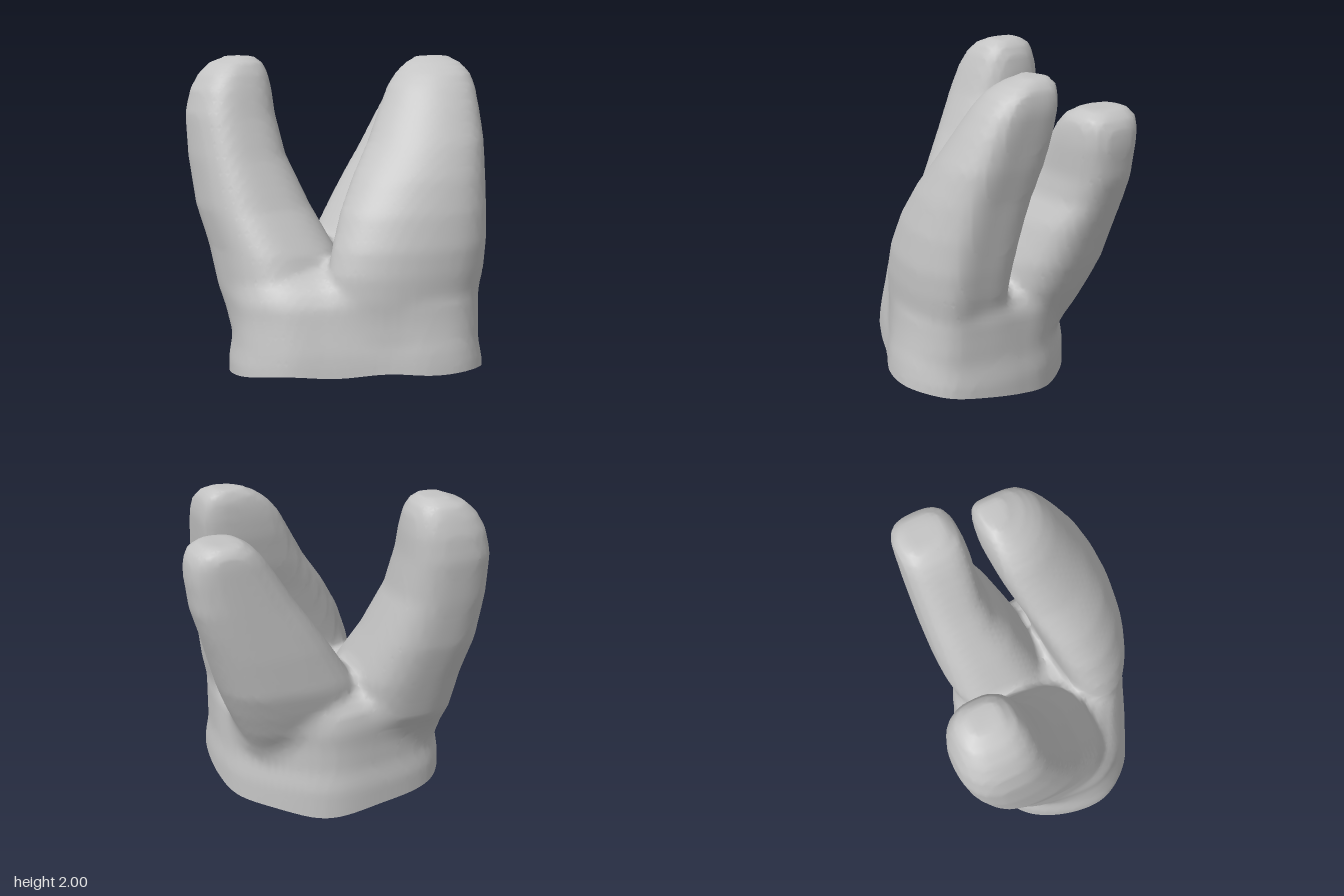
import * as THREE from 'three';

const BINS = 120;
const TAU = Math.PI * 2;

// Smooth closed outline through [x, z] points, rescaled to the -1..1 square.
// Returns a function that is 1 on the outline, less inside, more outside.
function smoothOutline(points) {
  const curve = new THREE.CatmullRomCurve3(points.map(([x, z]) => new THREE.Vector3(x, 0, z)), true);
  const pts = curve.getPoints(2400);
  const box = new THREE.Box3().setFromPoints(pts);
  const mid = box.getCenter(new THREE.Vector3());
  const half = box.getSize(new THREE.Vector3()).multiplyScalar(0.5);
  const radius = new Array(BINS).fill(1);
  for (const p of pts) {
    const u = (p.x - mid.x) / half.x, v = (p.z - mid.z) / half.z;
    const bin = Math.round((Math.atan2(v, u) / TAU + 1) * BINS) % BINS;
    radius[bin] = Math.hypot(u, v);
  }
  return (u, v) => {
    const a = (Math.atan2(v, u) / TAU + 1) * BINS;
    const i = Math.floor(a);
    return Math.hypot(u, v) / THREE.MathUtils.lerp(radius[i % BINS], radius[(i + 1) % BINS], a - i);
  };
}

const softSquare = power => (u, v) => (Math.abs(u) ** power + Math.abs(v) ** power) ** (1 / power);

// Approximate signed distance to a limb skinned over stations [y, xMin, xMax, zMin, zMax]
function limb(outline, stations) {
  const low = stations[0][0], high = stations[stations.length - 1][0];
  return (x, y, z) => {
    const h = THREE.MathUtils.clamp(y, low, high);
    let j = 0;
    while (j < stations.length - 2 && stations[j + 1][0] < h) j++;
    const a = stations[j], b = stations[j + 1];
    const t = (h - a[0]) / (b[0] - a[0]);
    const [, x0, x1, z0, z1] = a.map((v, i) => v + (b[i] - v) * t);
    const hx = (x1 - x0) / 2, hz = (z1 - z0) / 2;
    const r = outline((x - x0 - hx) / hx, (z - z0 - hz) / hz);
    return Math.max((r - 1) * Math.min(hx, hz), low - y, y - high);
  };
}

function smoothMin(a, b, k) {
  const h = Math.max(k - Math.abs(a - b), 0) / k;
  return Math.min(a, b) - h * h * k / 4;
}

// Palm and cuff
const palm = limb(smoothOutline([
  [0.58, 0.1], [0.57, 0.42], [0.5, 0.64], [0.3, 0.77], [0.05, 0.75], [-0.2, 0.62], [-0.5, 0.47],
  [-0.74, 0.32], [-0.86, 0.1], [-0.81, -0.19], [-0.65, -0.41], [-0.25, -0.53], [0.08, -0.53],
  [0.32, -0.38], [0.53, -0.1],
]), [
  [-0.2, -0.86, 0.59, -0.55, 0.78],
  [0.18, -0.86, 0.58, -0.55, 0.78],
  [0.3, -0.84, 0.56, -0.53, 0.76],
  [0.45, -0.825, 0.55, -0.53, 0.72],
  [0.57, -0.82, 0.54, -0.54, 0.69],
  [0.66, -0.78, 0.49, -0.53, 0.63],
  [0.73, -0.69, 0.38, -0.49, 0.52],
  [0.78, -0.5, 0.2, -0.36, 0.35],
]);

// Thumb: leans back and outward
const thumb = limb(softSquare(2.6), [
  [0.2, -0.68, -0.2, -0.28, 0.2],
  [0.4, -0.78, -0.16, -0.43, 0.25],
  [0.6, -0.82, -0.1, -0.56, 0.28],
  [0.85, -0.84, -0.14, -0.63, 0.17],
  [1.1, -0.88, -0.23, -0.7, 0.0],
  [1.4, -0.89, -0.33, -0.75, -0.15],
  [1.65, -0.88, -0.36, -0.78, -0.25],
  [1.8, -0.84, -0.365, -0.77, -0.3],
  [1.9, -0.78, -0.38, -0.74, -0.34],
  [1.96, -0.71, -0.41, -0.71, -0.38],
  [2.0, -0.61, -0.46, -0.64, -0.44],
]);

// Front finger: broad at the base, narrowing towards its tip
const frontFinger = limb(smoothOutline([
  [1, 0], [0.9, 0.68], [0.5, 1], [0, 0.97], [-0.52, 0.68], [-0.9, 0.15], [-1, -0.4],
  [-0.84, -0.8], [-0.4, -0.97], [0.6, -1], [0.94, -0.82],
]), [
  [0.2, -0.25, 0.42, 0.2, 0.64],
  [0.4, -0.36, 0.51, 0.15, 0.69],
  [0.6, -0.4, 0.54, 0.16, 0.69],
  [0.75, -0.39, 0.57, 0.15, 0.7],
  [0.9, -0.35, 0.59, 0.13, 0.7],
  [1.1, -0.27, 0.61, 0.09, 0.67],
  [1.3, -0.15, 0.63, 0.04, 0.62],
  [1.5, 0.0, 0.66, -0.02, 0.55],
  [1.7, 0.12, 0.68, -0.06, 0.45],
  [1.82, 0.19, 0.69, -0.07, 0.38],
  [1.91, 0.27, 0.68, -0.07, 0.31],
  [1.97, 0.36, 0.65, -0.06, 0.21],
  [2.0, 0.43, 0.61, -0.03, 0.12],
]);

// Back finger: shorter, leaning strongly to the side
const backFinger = limb(softSquare(2.8), [
  [0.2, -0.25, 0.3, -0.28, 0.1],
  [0.4, -0.3, 0.48, -0.35, 0.12],
  [0.55, -0.28, 0.55, -0.43, 0.12],
  [0.7, -0.24, 0.62, -0.48, 0.11],
  [0.85, -0.14, 0.68, -0.52, 0.08],
  [1.1, 0.03, 0.76, -0.53, -0.01],
  [1.25, 0.14, 0.81, -0.53, -0.09],
  [1.4, 0.25, 0.86, -0.53, -0.12],
  [1.6, 0.38, 0.885, -0.53, -0.12],
  [1.7, 0.45, 0.88, -0.53, -0.13],
  [1.76, 0.51, 0.85, -0.52, -0.15],
  [1.8, 0.58, 0.79, -0.48, -0.22],
]);

const field = (x, y, z) =>
  [thumb, frontFinger, backFinger].reduce((d, f) => smoothMin(d, f(x, y, z), 0.06), palm(x, y, z));

// Height of the slanted, slightly wavy cuff opening
const rimHeight = (x, z) => Math.max(0, 0.085 + 0.13 * z - 0.06 * x + 0.008 * Math.sin(9 * x + 5 * z));

// Grid whose lowest layer lies on the cuff opening
const SIZE = [56, 60, 50];
function place(i, j, k) {
  const x = -0.98 + 1.96 * i / SIZE[0], z = -0.87 + 1.74 * k / SIZE[2];
  const rim = rimHeight(x, z);
  return [x, rim + (2.06 - rim) * j / SIZE[1], z];
}

// Skin the field: one vertex per crossed cell, one quad per crossed grid edge
function skinField() {
  const id = (i, j, k) => (i * (SIZE[1] + 1) + j) * (SIZE[2] + 1) + k;
  const value = [], vertexOf = new Map(), outer = [], inner = [], index = [], lip = [];
  const eachNode = visit => {
    for (let i = 0; i <= SIZE[0]; i++)
      for (let j = 0; j <= SIZE[1]; j++)
        for (let k = 0; k <= SIZE[2]; k++) visit([i, j, k]);
  };
  const step = (n, axis, s) => n.map((v, a) => (a === axis ? v + s : v));
  eachNode(n => { value[id(...n)] = field(...place(...n)); });

  // Mean edge crossing of a cell, snapped to the opening in the lowest layer
  const vertex = cell => {
    const key = id(...cell);
    if (!vertexOf.has(key)) {
      const sum = [0, 0, 0];
      let count = 0;
      for (let axis = 0; axis < 3; axis++) for (let c = 0; c < 4; c++) {
        const p = step(step(cell, (axis + 1) % 3, c & 1), (axis + 2) % 3, c >> 1);
        const a = value[id(...p)], b = value[id(...step(p, axis, 1))];
        if ((a < 0) === (b < 0)) continue;
        step(p, axis, a / (a - b)).forEach((v, m) => { sum[m] += v; });
        count++;
      }
      const [i, j, k] = sum.map(v => v / count);
      const p = place(i, cell[1] === 0 ? 0 : j, k);
      // The lining sits a little inside, against the slope of the field
      const slope = new THREE.Vector3(...[0, 1, 2].map(axis =>
        field(...step(p, axis, 0.01)) - field(...step(p, axis, -0.01)))).normalize();
      vertexOf.set(key, outer.length / 3);
      outer.push(...p);
      inner.push(...new THREE.Vector3(...p).addScaledVector(slope, -0.035));
    }
    return vertexOf.get(key);
  };

  eachNode(n => {
    for (let axis = 0; axis < 3; axis++) {
      if (n[axis] === SIZE[axis]) continue;
      const inside = value[id(...n)] < 0;
      if (inside === value[id(...step(n, axis, 1))] < 0) continue;
      const b = (axis + 1) % 3, c = (axis + 2) % 3;
      const cells = [[-1, -1], [0, -1], [0, 0], [-1, 0]].map(([s, t]) => step(step(n, b, s), c, t));
      if (!inside) cells.reverse();
      const v = cells.filter(cell => cell[1] >= 0).map(vertex);
      if (v.length === 4) index.push(v[0], v[1], v[2], v[0], v[2], v[3]);
      else lip.push(v);
    }
  });
  return { outer, inner, index, lip };
}

export function createModel() {
  const grey = new THREE.MeshStandardMaterial({ color: 0xc4c4c4 });
  grey.name = 'grey';
  const group = new THREE.Group();
  const add = (name, pos, index) => {
    const geo = new THREE.BufferGeometry();
    geo.setAttribute('position', new THREE.Float32BufferAttribute(pos, 3));
    geo.setIndex(index);
    geo.computeVertexNormals();
    const mesh = new THREE.Mesh(geo, grey);
    mesh.name = name;
    group.add(mesh);
  };
  // Outer skin, lining just inside it, and the rim that joins them
  const { outer, inner, index, lip } = skinField();
  const count = outer.length / 3;
  add('gloveOuter', outer, index);
  add('gloveLining', inner, [...index].reverse());
  add('cuffRim', [...outer, ...inner],
    lip.flatMap(([p, q]) => [p, q, q + count, p, q + count, p + count]));
  return group;
}
